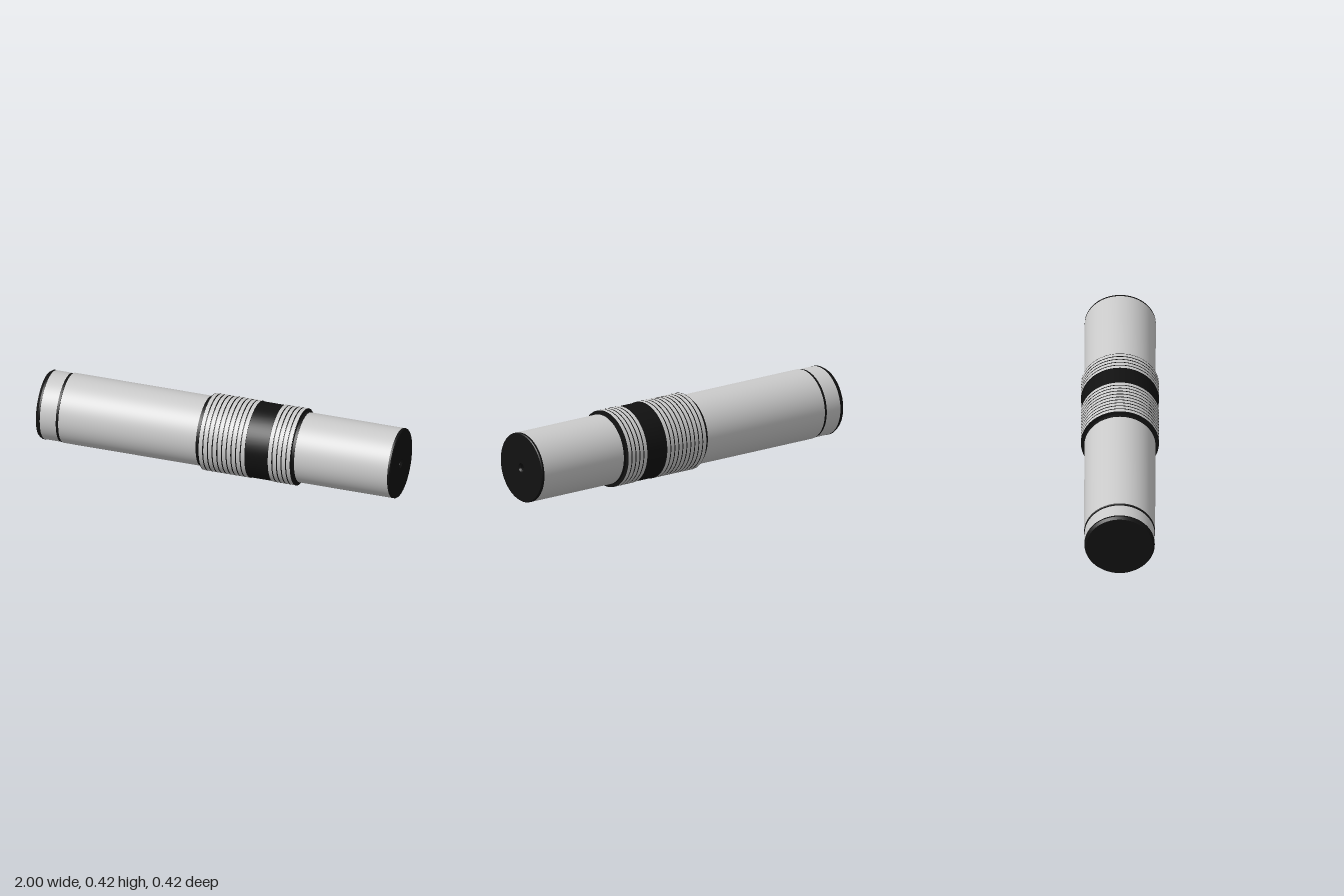
import * as THREE from 'three';
import { toCreasedNormals } from 'three/addons/utils/BufferGeometryUtils.js';

const SEGMENTS = 96;
const BODY = 0.19;
const RING = 0.209;

export function createModel() {
  const model = new THREE.Group();
  model.name = 'ribbedCylinder';
  const grey = new THREE.MeshStandardMaterial({ color: 0xcccccc });
  const black = new THREE.MeshStandardMaterial({ color: 0x111111 });

  // Everything is turned about one axis; profiles are [radius, x] from -x to +x.
  const axis = new THREE.Group();
  axis.name = 'turnedParts';
  axis.rotation.z = -Math.PI / 2;
  axis.position.y = RING;
  model.add(axis);

  function turn(name, material, profile, parent = axis) {
    const points = profile.map(([r, x]) => new THREE.Vector2(r, x));
    const geometry = toCreasedNormals(new THREE.LatheGeometry(points, SEGMENTS), 0.4);
    const mesh = new THREE.Mesh(geometry, material);
    mesh.name = name;
    parent.add(mesh);
  }

  // Open sleeve forming a visible grey surface
  const sleeve = (name, x0, x1, r) => turn(name, grey, [[r, x0], [r, x1]]);

  // Chamfered rear cap
  turn('rearCap', black, [[0, -1], [0.178, -1], [0.188, -0.985], [0.188, -0.975], [BODY - 0.003, -0.975]]);
  sleeve('rearSleeve', -0.975, -0.885, 0.187);

  // Dark step between the rear sleeve and the long body
  turn('rearGroove', black, [[0.187, -0.885], [0.186, -0.885], [0.186, -0.873], [BODY, -0.87]]);
  sleeve('longBody', -0.87, -0.095, BODY);

  // Dark core behind the ribs, with a collar at each end and a wide middle band
  turn('ribCore', black, [
    [BODY, -0.095], [0.191, -0.095], [0.191, -0.075], [RING, -0.075], [RING, -0.0735], [0.204, -0.0735],
    [0.204, 0.189], [0.206, 0.189], [0.206, 0.315], [0.204, 0.315], [0.204, 0.4435],
    [RING, 0.4435], [RING, 0.445], [0.191, 0.445], [0.191, 0.46], [BODY, 0.46],
  ]);

  // Two sets of narrow raised ribs
  function ribs(name, x0, x1, count) {
    const set = new THREE.Group();
    set.name = name;
    axis.add(set);
    const pitch = (x1 - x0) / count;
    const gap = 0.003;
    for (let i = 0; i < count; i++) {
      const a = x0 + i * pitch + gap;
      const b = x0 + (i + 1) * pitch - gap;
      turn('rib', grey, [[RING, a], [RING, b]], set);
      turn('ribSides', black, [[0.203, a], [RING, a]], set);
      turn('ribSides', black, [[RING, b], [0.203, b]], set);
    }
  }
  ribs('longRibs', -0.075, 0.189, 10);
  ribs('shortRibs', 0.315, 0.445, 5);

  sleeve('frontBody', 0.46, 0.985, BODY);

  // End cap with a small countersunk centre hole
  turn('frontCap', black, [
    [BODY, 0.985], [BODY, 0.995], [0.186, 1], [0.025, 1], [0.018, 0.99], [0.018, 0.97], [0, 0.97],
  ]);

  return model;
}
